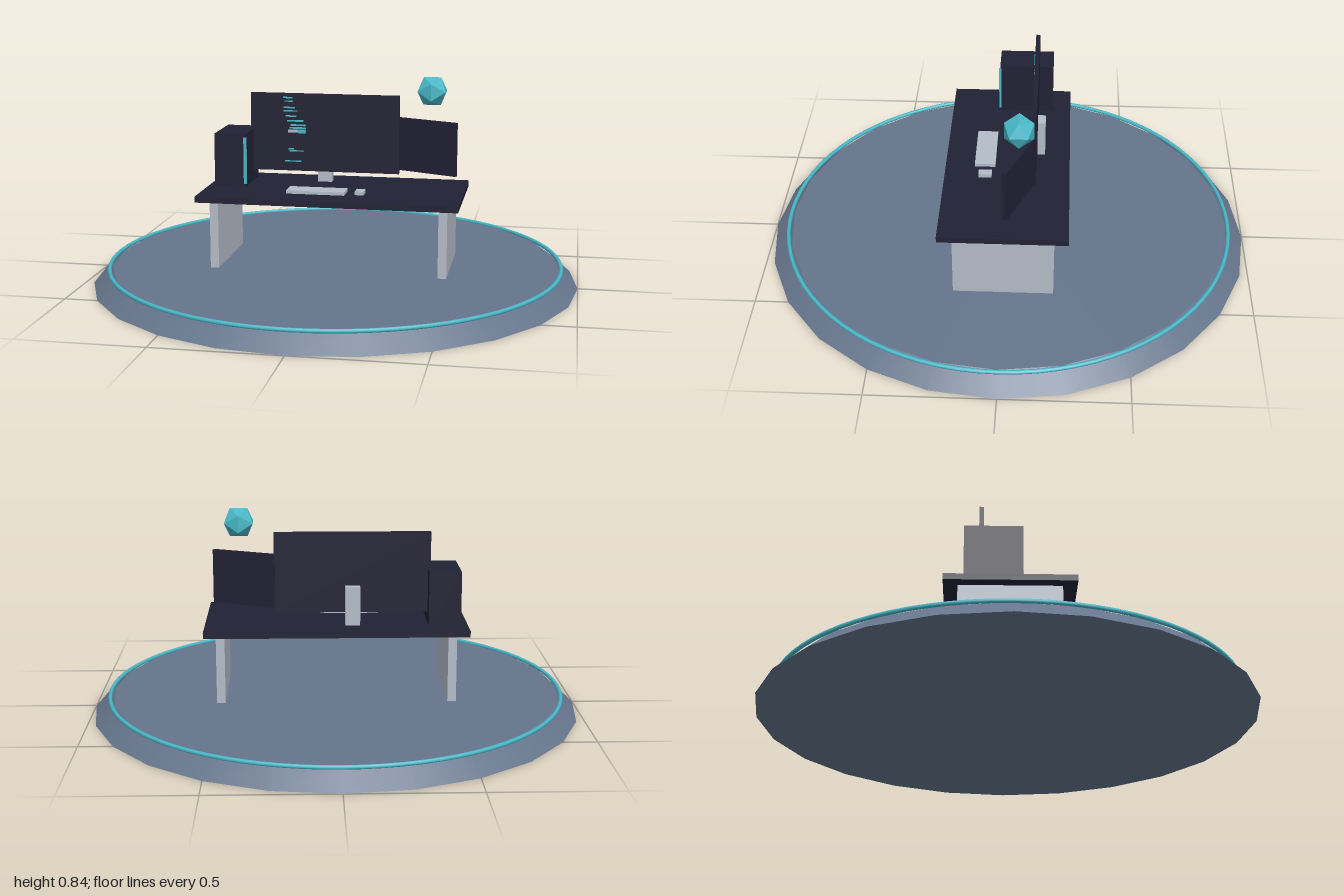
import * as THREE from 'three';

const mat = (name, color) => {
  const m = new THREE.MeshStandardMaterial({ color });
  m.name = name;
  return m;
};

export function createModel() {
  const model = new THREE.Group();
  model.name = 'deskOnPlatform';
  const slate = mat('slate', 0x66758c);
  const dark = mat('darkNavy', 0x212135);
  const silver = mat('silver', 0xb4bcc8);
  const cyan = mat('cyan', 0x49b8c8);

  const add = (name, geo, material, x = 0, y = 0, z = 0, parent = model) => {
    const mesh = new THREE.Mesh(geo, material);
    mesh.name = name;
    mesh.position.set(x, y, z);
    parent.add(mesh);
    return mesh;
  };
  // box given by its lower and upper corners
  const block = (name, material, [x0, y0, z0], [x1, y1, z1], parent) =>
    add(name, new THREE.BoxGeometry(x1 - x0, y1 - y0, z1 - z0), material,
      (x0 + x1) / 2, (y0 + y1) / 2, (z0 + z1) / 2, parent);

  // platform with a glowing rim
  add('platform', new THREE.CylinderGeometry(0.92, 1, 0.072, 24), slate, 0, 0.036, 0);
  add('rimLight', new THREE.TorusGeometry(0.932, 0.0085, 8, 80), cyan, 0, 0.072, 0).rotation.x = Math.PI / 2;

  // desk
  block('deskTop', dark, [-0.53, 0.355, -0.255], [0.53, 0.38, 0.255]);
  for (const s of [-1, 1])
    add('deskLeg', new THREE.BoxGeometry(0.035, 0.285, 0.4), silver, s * 0.466, 0.2135, 0);

  // computer tower with light strip
  block('tower', dark, [-0.5, 0.38, -0.178], [-0.37, 0.602, 0.05]);
  block('towerLight', cyan, [-0.376, 0.395, 0.045], [-0.364, 0.59, 0.055]);

  // main screen and stand
  block('mainScreen', dark, [-0.38, 0.427, -0.12], [0.25, 0.755, -0.102]);
  block('screenStand', silver, [-0.096, 0.38, -0.152], [-0.036, 0.537, -0.12]);

  // side screen, turned inwards
  add('sideScreen', new THREE.BoxGeometry(0.275, 0.22, 0.016), dark, 0.37, 0.556, -0.06).rotation.y = -0.4;

  // glowing marks on the main screen: [left, width, centre height, thickness]
  const marks = new THREE.Group();
  marks.name = 'screenMarks';
  model.add(marks);
  const lines = [
    [-0.24, 0.04, 0.738, 0.006], [-0.235, 0.035, 0.723, 0.005], [-0.24, 0.05, 0.696, 0.006],
    [-0.24, 0.06, 0.682, 0.005], [-0.23, 0.045, 0.66, 0.006], [-0.225, 0.07, 0.64, 0.007],
    [-0.21, 0.065, 0.622, 0.007], [-0.215, 0.07, 0.61, 0.007], [-0.18, 0.035, 0.596, 0.016],
    [-0.22, 0.025, 0.52, 0.006], [-0.215, 0.06, 0.512, 0.005], [-0.235, 0.07, 0.468, 0.005],
  ];
  for (const [x, w, y, h] of lines)
    block('mark', cyan, [x, y - h / 2, -0.102], [x + w, y + h / 2, -0.099], marks);
  block('markPale', silver, [-0.22, 0.59, -0.102], [-0.18, 0.603, -0.099], marks);

  // keyboard and mouse
  block('keyboard', silver, [-0.18, 0.38, 0.05], [0.06, 0.393, 0.135]);
  block('mouse', silver, [0.1, 0.38, 0.062], [0.136, 0.395, 0.116]);

  // floating crystal
  add('crystal', new THREE.IcosahedronGeometry(0.067, 0), cyan, 0.39, 0.787, -0.058);

  return model;
}
